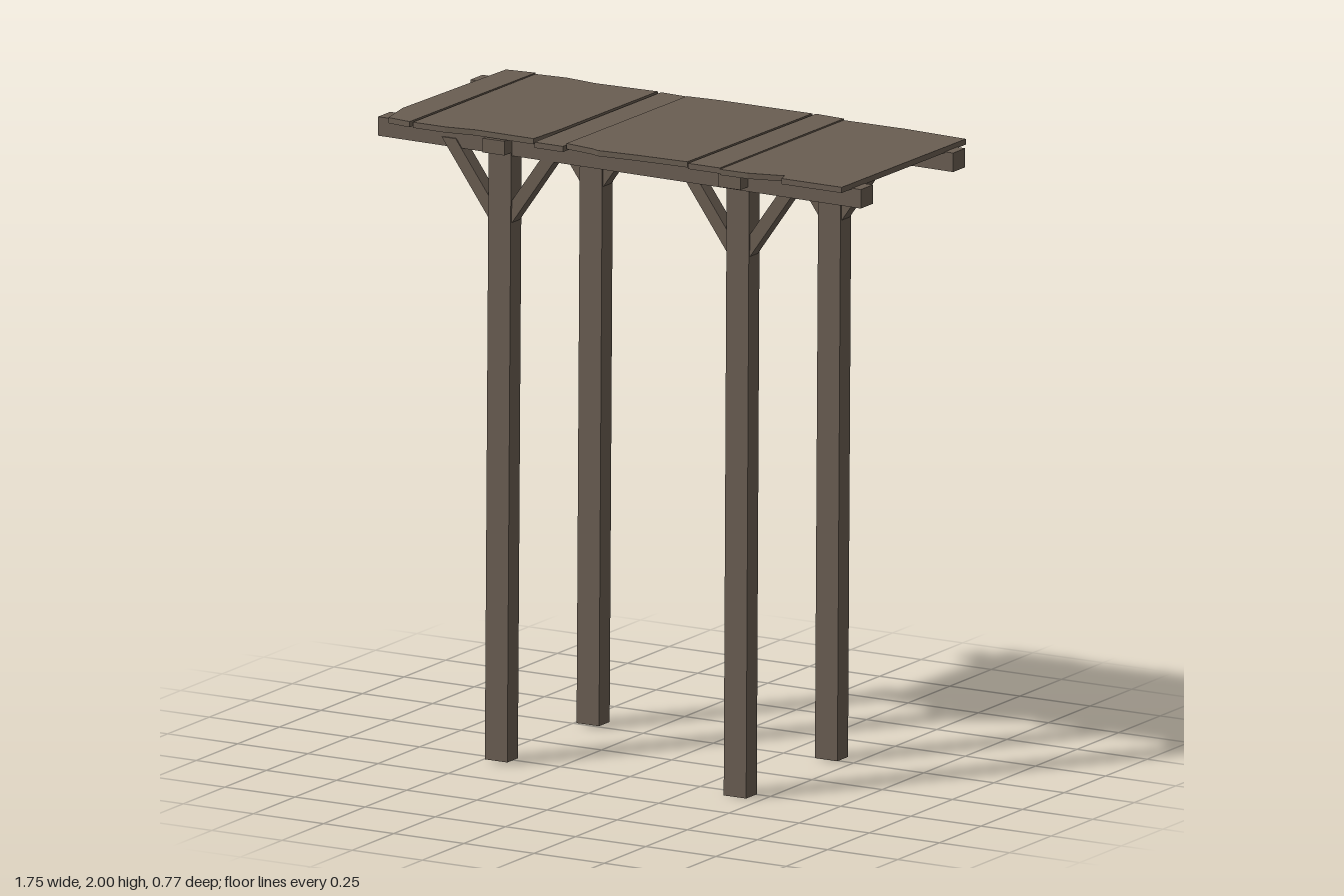
import * as THREE from 'three';

const wood = new THREE.MeshStandardMaterial({ color: 0x6a5e52, flatShading: true });
wood.name = 'weathered wood';

// Square timber sheared between two end centres; ends stay square to the given axis
function timber(name, axis, a, b, size) {
  const from = new THREE.Vector3(...a), to = new THREE.Vector3(...b);
  const dims = [...size];
  dims[axis] = 1;
  const geo = new THREE.BoxGeometry(...dims);
  const pos = geo.attributes.position;
  const v = new THREE.Vector3(), c = new THREE.Vector3();
  for (let i = 0; i < pos.count; i++) {
    v.fromBufferAttribute(pos, i);
    const t = v.getComponent(axis) + 0.5;
    v.setComponent(axis, 0);
    v.add(c.lerpVectors(from, to, t));
    pos.setXYZ(i, v.x, v.y, v.z);
  }
  geo.computeVertexNormals();
  const mesh = new THREE.Mesh(geo, wood);
  mesh.name = name;
  return mesh;
}

// Roof board from its outline seen from above, as [x, z] points
function board(outline, y, thickness) {
  const shape = new THREE.Shape(outline.map(([x, z]) => new THREE.Vector2(x, -z)));
  const geo = new THREE.ExtrudeGeometry(shape, { depth: thickness, bevelEnabled: false });
  geo.rotateX(-Math.PI / 2);
  const mesh = new THREE.Mesh(geo, wood);
  mesh.name = 'roofBoard';
  mesh.position.y = y;
  return mesh;
}

export function createModel() {
  const model = new THREE.Group();
  model.name = 'openShelter';

  // Slightly leaning posts, each with a pair of braces
  const posts = [
    { x: -0.44, z: 0.282, top: 0.272, y: 0.008 },
    { x: 0.41, z: 0.28, top: 0.275, y: 0 },
    { x: -0.436, z: -0.263, top: -0.271, y: 0.008 },
    { x: 0.414, z: -0.262, top: -0.27, y: 0.004 },
  ];
  for (const p of posts) {
    const xt = p.x + 0.008;
    model.add(timber('post', 1, [p.x, p.y, p.z], [xt, 1.975, p.top], [0.08, 0, 0.064]));
    for (const s of [-1, 1]) {
      model.add(timber('brace', 1,
        [xt + s * 0.015, 1.71, p.top + 0.003], [xt + s * 0.186, 1.95, p.top + 0.003], [0.05, 0, 0.048]));
    }
  }

  // Long beams, slightly askew
  model.add(timber('frontBeam', 0, [-0.875, 1.952, 0.253], [0.864, 1.946, 0.285], [0, 0.06, 0.072]));
  model.add(timber('backBeam', 0, [-0.87, 1.954, -0.294], [0.87, 1.947, -0.26], [0, 0.06, 0.072]));

  // Cross beams over the post pairs
  model.add(timber('crossBeam', 2, [-0.431, 1.954, -0.34], [-0.431, 1.954, 0.345], [0.078, 0.045, 0]));
  model.add(timber('crossBeam', 2, [0.418, 1.954, -0.33], [0.418, 1.954, 0.358], [0.078, 0.045, 0]));

  // Roof boards with ragged ends: back edge left to right, then front edge right to left
  const boards = [
    [1.982, [[-0.81, -0.37], [-0.71, -0.38], [-0.722, 0.358], [-0.805, 0.345], [-0.83, 0.22]]],
    [1.979, [[-0.708, -0.377], [-0.6, -0.385], [-0.49, -0.368], [-0.272, -0.375], [-0.28, 0.2],
      [-0.29, 0.342], [-0.5, 0.335], [-0.6, 0.35], [-0.716, 0.348]]],
    [1.974, [[-0.268, -0.388], [-0.165, -0.38], [-0.172, 0.365], [-0.275, 0.362]]],
    [1.981, [[-0.16, -0.36], [-0.05, -0.368], [0.285, -0.365], [0.272, 0.365], [0.1, 0.37],
      [-0.04, 0.38], [-0.06, 0.37], [-0.168, 0.35]]],
    [1.978, [[0.29, -0.378], [0.395, -0.368], [0.392, 0.372], [0.277, 0.37]]],
    [1.974, [[0.397, -0.365], [0.62, -0.365], [0.842, -0.348], [0.832, 0.382], [0.615, 0.378],
      [0.605, 0.343], [0.49, 0.372], [0.393, 0.373]]],
  ];
  for (const [y, outline] of boards) model.add(board(outline, y, 0.018));

  return model;
}
